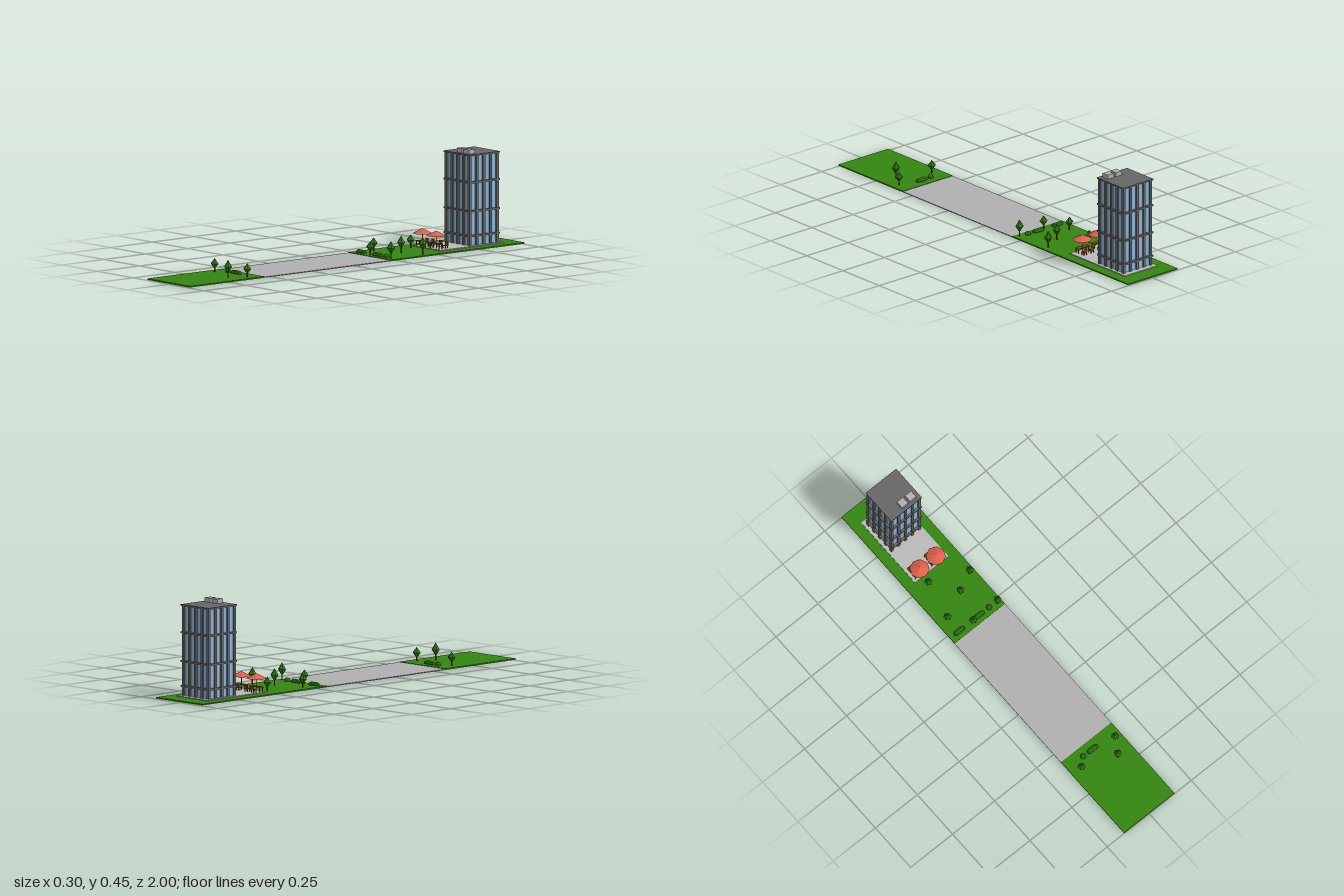
import * as THREE from 'three';

const mat = (name, color, side = THREE.FrontSide) => new THREE.MeshStandardMaterial({ name, color, side });

export function createModel() {
  const root = new THREE.Group();
  root.name = 'towerPlot';
  const grass = mat('grassGreen', 0x358510);
  const leaf = mat('leafGreen', 0x2f7a14);
  const road = mat('roadGrey', 0xb0b0b0);
  const paving = mat('pavingGrey', 0xb9b9b9);
  const frame = mat('frameGrey', 0x666666);
  const glass = mat('glassBlue', 0x88b2d6);
  const coral = mat('canopyCoral', 0xe0604a);
  const wood = mat('woodBrown', 0x83420f);

  const add = (parent, name, geo, material, x = 0, y = 0, z = 0) => {
    const m = new THREE.Mesh(geo, material);
    m.name = name;
    m.position.set(x, y, z);
    parent.add(m);
    return m;
  };
  // Box given by its extents on each axis
  const box = (parent, name, material, x0, x1, y0, y1, z0, z1) =>
    add(parent, name, new THREE.BoxGeometry(x1 - x0, y1 - y0, z1 - z0), material,
      (x0 + x1) / 2, (y0 + y1) / 2, (z0 + z1) / 2);
  const faceted = (geo) => {
    const g = geo.index ? geo.toNonIndexed() : geo;
    g.computeVertexNormals();
    return g;
  };
  const group = (name, x = 0, y = 0, z = 0) => {
    const g = new THREE.Group();
    g.name = name;
    g.position.set(x, y, z);
    root.add(g);
    return g;
  };

  // Ground: two lawns with a road slab between, on thin footings
  const ground = group('ground');
  box(ground, 'backLawn', grass, -0.15, 0.15, 0.0036, 0.009, -1, -0.2);
  box(ground, 'frontLawn', grass, -0.15, 0.15, 0.0036, 0.009, 0.553, 1);
  box(ground, 'roadSlab', road, -0.15, 0.15, 0.003, 0.007, -0.2, 0.553);
  box(ground, 'backFooting', road, -0.15, 0.15, 0.003, 0.0036, -1, -0.207);
  box(ground, 'frontFooting', road, -0.15, 0.15, 0.003, 0.0036, 0.56, 1);
  box(ground, 'patio', paving, -0.1, 0.1, 0.006, 0.013, -0.92, -0.54);

  // Tower: glass core, columns on all four sides, floor bands and roof
  const tower = group('tower', 0.001, 0, -0.81);
  box(tower, 'glassCore', glass, -0.08, 0.08, 0.01, 0.428, -0.08, 0.08);
  for (let i = 0; i < 5; i++) {
    const p = -0.081 + i * 0.0405;
    for (const s of [-1, 1]) {
      const q = s * 0.081;
      box(tower, 'column', frame, p - 0.0065, p + 0.0065, 0, 0.428, q - 0.0065, q + 0.0065);
      if (i > 0 && i < 4)
        box(tower, 'column', frame, q - 0.0065, q + 0.0065, 0, 0.428, p - 0.0065, p + 0.0065);
    }
  }
  for (const y of [0.057, 0.171, 0.304])
    box(tower, 'floorBand', frame, -0.091, 0.091, y - 0.004, y + 0.004, -0.091, 0.091);
  box(tower, 'roof', frame, -0.091, 0.091, 0.426, 0.433, -0.091, 0.091);
  for (const x of [0.003, 0.051])
    box(tower, 'roofUnit', road, x - 0.018, x + 0.018, 0.433, 0.453, 0.04, 0.076);

  // Patio sets: parasol, table and two chairs
  const canopy = faceted(new THREE.ConeGeometry(0.046, 0.023, 8));
  const pole = new THREE.CylinderGeometry(0.002, 0.002, 0.07, 6);
  for (const cx of [-0.054, 0.043]) {
    const set = group('patioSet', cx, 0.012, -0.562);
    add(set, 'parasolCanopy', canopy, coral, 0, 0.0715, 0);
    add(set, 'parasolPole', pole, wood, 0, 0.035, 0);
    box(set, 'tableTop', wood, -0.035, 0.035, 0.021, 0.024, -0.012, 0.012);
    for (const s of [-1, 1]) {
      for (const z of [-0.009, 0.009])
        box(set, 'tableLeg', wood, s * 0.031 - 0.002, s * 0.031 + 0.002, 0, 0.021, z - 0.002, z + 0.002);
      const c = s * 0.021;
      box(set, 'chairSeat', wood, c - 0.01, c + 0.01, 0.012, 0.015, -0.046, -0.028);
      box(set, 'chairBack', wood, c - 0.01, c + 0.01, 0.015, 0.031, -0.047, -0.044);
      for (const lx of [-0.008, 0.008])
        for (const lz of [-0.044, -0.03])
          box(set, 'chairLeg', wood, c + lx - 0.0015, c + lx + 0.0015, 0, 0.012, lz - 0.0015, lz + 0.0015);
    }
  }

  // Trees: faceted spindle crowns on short trunks; [x, z, height]
  const crown = faceted(new THREE.LatheGeometry(
    [[0, 0.31], [0.019, 0.645], [0, 1]].map(([r, y]) => new THREE.Vector2(r, y)), 6));
  const trunk = new THREE.CylinderGeometry(0.003, 0.003, 0.034, 6);
  const trees = [
    [-0.058, -0.495, 0.073], [0.121, -0.415, 0.09], [0.026, -0.367, 0.09],
    [-0.1, -0.31, 0.073], [-0.021, -0.222, 0.073], [0.125, -0.222, 0.091],
    [-0.1, 0.64, 0.073], [0.112, 0.625, 0.073], [0.065, 0.7, 0.091],
  ];
  for (const [x, z, h] of trees) {
    const tree = group('tree', x, 0, z);
    add(tree, 'treeCrown', crown, leaf).scale.y = h;
    add(tree, 'treeTrunk', trunk, wood, 0, 0.017, 0);
  }

  // Hedges and round bushes; [x, z, length], zero length is round
  const bushes = [
    [-0.095, -0.232, 0.062], [0.021, -0.232, 0.064], [0.082, -0.232, 0],
    [-0.055, 0.597, 0], [0.001, 0.597, 0.062],
  ];
  for (const [x, z, len] of bushes) {
    const r = 0.0125;
    const geo = len
      ? new THREE.CapsuleGeometry(r, len - 2 * r, 2, 8).rotateZ(Math.PI / 2)
      : new THREE.IcosahedronGeometry(r + 0.001, 1);
    add(root, len ? 'hedge' : 'roundBush', faceted(geo), leaf, x, r - 0.002 + (len ? 0 : 0.003), z);
  }
  // Rest the lowest parts on the floor
  root.children.filter((c) => c.name === 'hedge').forEach((c) => { c.position.y = 0.0125; });
  return root;
}
